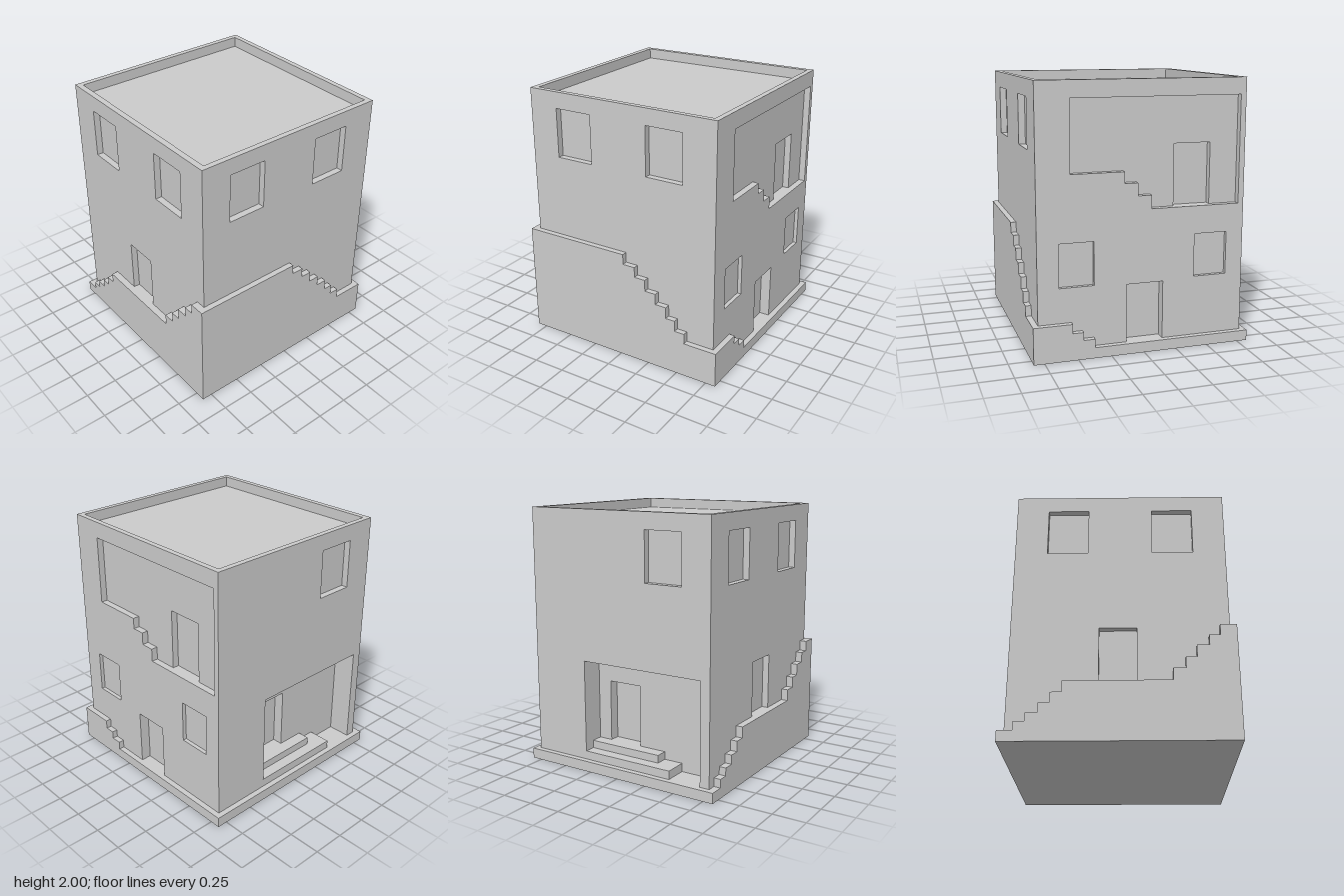
import * as THREE from 'three';

const material = new THREE.MeshStandardMaterial({ color: 0xcccccc });

// Body faces: half width, front and back planes, storey and roof levels
const W = 0.787, F = 0.777, B = 0.787, FLOOR = 1, ROOF = 1.92, TOP = 2, OUT = 0.83;
const TURN = { front: 0, right: Math.PI / 2, back: Math.PI, left: -Math.PI / 2 };

const rect = (u0, u1, y0, y1) => [[u0, y0], [u1, y0], [u1, y1], [u0, y1]];
const toVectors = (pts) => pts.map(([u, y]) => new THREE.Vector2(u, y));

function extrude(outline, holes, depth) {
  const shape = new THREE.Shape(toVectors(outline));
  holes.forEach((h) => shape.holes.push(new THREE.Path(toVectors(h))));
  return new THREE.ExtrudeGeometry(shape, { depth, bevelEnabled: false });
}

export function createModel() {
  const model = new THREE.Group();

  const add = (name, geometry) => {
    const mesh = new THREE.Mesh(geometry, material);
    mesh.name = name;
    model.add(mesh);
    return mesh;
  };

  const box = (name, x0, x1, y0, y1, z0, z1) =>
    add(name, new THREE.BoxGeometry(x1 - x0, y1 - y0, z1 - z0))
      .position.set((x0 + x1) / 2, (y0 + y1) / 2, (z0 + z1) / 2);

  // Upright slab on one side; u runs left to right as seen from outside
  const panel = (name, side, outer, depth, outline, holes = []) => {
    const geometry = extrude(outline, holes, depth);
    geometry.translate(0, 0, outer - depth);
    geometry.rotateY(TURN[side]);
    add(name, geometry);
  };

  // Wall made of layers, each [depth, holes], from the outside inwards
  const wall = (name, side, outer, outline, layers) => {
    for (const [depth, holes] of layers) {
      panel(name, side, outer, depth, outline, holes);
      outer -= depth;
    }
  };

  // Skirt with a stepped top; levels are [end u, height] from u0 onwards
  const skirt = (name, side, inner, u0, levels) => {
    const pts = [[u0, 0]];
    let u = u0;
    for (const [end, h] of levels) {
      pts.push([u, h], [end, h]);
      u = end;
    }
    pts.push([u, 0]);
    panel(name, side, OUT, OUT - inner, pts);
  };

  const windowPair = [rect(-0.545, -0.24, 1.5, 1.875), rect(0.24, 0.545, 1.5, 1.875)];

  // Ground storey
  const lowBack = 0.08, lowLeft = 0.26, thin = 0.05;
  box('groundCore', -W + lowLeft, W - thin, 0, FLOOR, -B + lowBack, F - thin);
  wall('groundFrontWall', 'front', F, rect(-W, W, 0, FLOOR),
    [[thin, [rect(-0.15, 0.12, 0.44, 0.867)]]]);
  wall('groundRightWall', 'right', W, rect(-F + thin, B - lowBack, 0, FLOOR), [[thin, []]]);
  const backDoor = rect(-0.125, 0.155, 0.08, 0.52);
  wall('groundBackWall', 'back', B, rect(-W, W, 0, FLOOR), [
    [0.03, [backDoor, rect(-0.63, -0.37, 0.535, 0.86), rect(0.4, 0.655, 0.535, 0.86)]],
    [lowBack - 0.03, [backDoor]],
  ]);
  // Porch with a step, and a doorway in its rear wall
  const porch = [[-0.32, 0.145], [0.44, 0.145], [0.44, 0.08], [0.7, 0.08], [0.7, 0.86], [-0.32, 0.86]];
  wall('groundLeftWall', 'left', W, rect(-B + lowBack, F - thin, 0, FLOOR), [
    [0.18, [porch]],
    [lowLeft - 0.18, [rect(-0.21, 0.066, 0.205, 0.68)]],
  ]);
  box('porchStep', -0.7, -W + 0.18, 0.1, 0.205, -0.32, 0.287);

  // Upper storey
  const upBack = 0.1;
  box('upperCore', -W + thin, W - thin, FLOOR, ROOF, -B + upBack, F - thin);
  wall('upperFrontWall', 'front', F, rect(-W, W, FLOOR, ROOF), [[thin, windowPair]]);
  wall('upperRightWall', 'right', W, rect(-F + thin, B - upBack, FLOOR, ROOF),
    [[thin, [rect(-0.545, -0.245, 1.5, 1.875), rect(0.225, 0.525, 1.5, 1.875)]]]);
  wall('upperLeftWall', 'left', W, rect(-B + upBack, F - thin, FLOOR, ROOF), [[thin, [windowPair[1]]]]);
  // Shallow balcony with a stepped floor, and a door in its rear wall
  const balcony = [[-0.54, 1.35], [-0.14, 1.35], [-0.14, 1.265], [-0.04, 1.265], [-0.04, 1.17],
    [0.065, 1.17], [0.065, 1.07], [0.745, 1.07], [0.745, 1.875], [-0.54, 1.875]];
  wall('upperBackWall', 'back', B, rect(-W, W, FLOOR, ROOF), [
    [0.05, [balcony]],
    [upBack - 0.05, [rect(0.248, 0.53, 1.07, 1.53)]],
  ]);

  // Roof parapet
  const parapet = extrude(rect(-W, W, -F, B), [rect(-0.745, 0.745, -0.732, 0.745)], TOP - ROOF);
  parapet.rotateX(-Math.PI / 2);
  parapet.translate(0, ROOF, 0);
  add('parapet', parapet);

  // Outside stairs winding round the base
  skirt('frontStairs', 'front', F, -OUT, [[-0.72, 0.08], [-0.645, 0.145], [-0.56, 0.205],
    [-0.48, 0.275], [-0.4, 0.355], [0.37, 0.44], [0.46, 0.53], [0.54, 0.615],
    [0.63, 0.705], [0.71, 0.785], [OUT, 0.865]]);
  skirt('rightStairs', 'right', W, -F, [[0.04, 0.865], [0.14, 0.785], [0.23, 0.705],
    [0.32, 0.615], [0.41, 0.53], [0.485, 0.44], [0.565, 0.355], [B, 0.275]]);
  skirt('backStairs', 'back', B, -OUT, [[-0.54, 0.275], [-0.46, 0.205], [-0.375, 0.145], [OUT, 0.08]]);
  skirt('leftLedge', 'left', W, -B, [[F, 0.08]]);

  return model;
}
